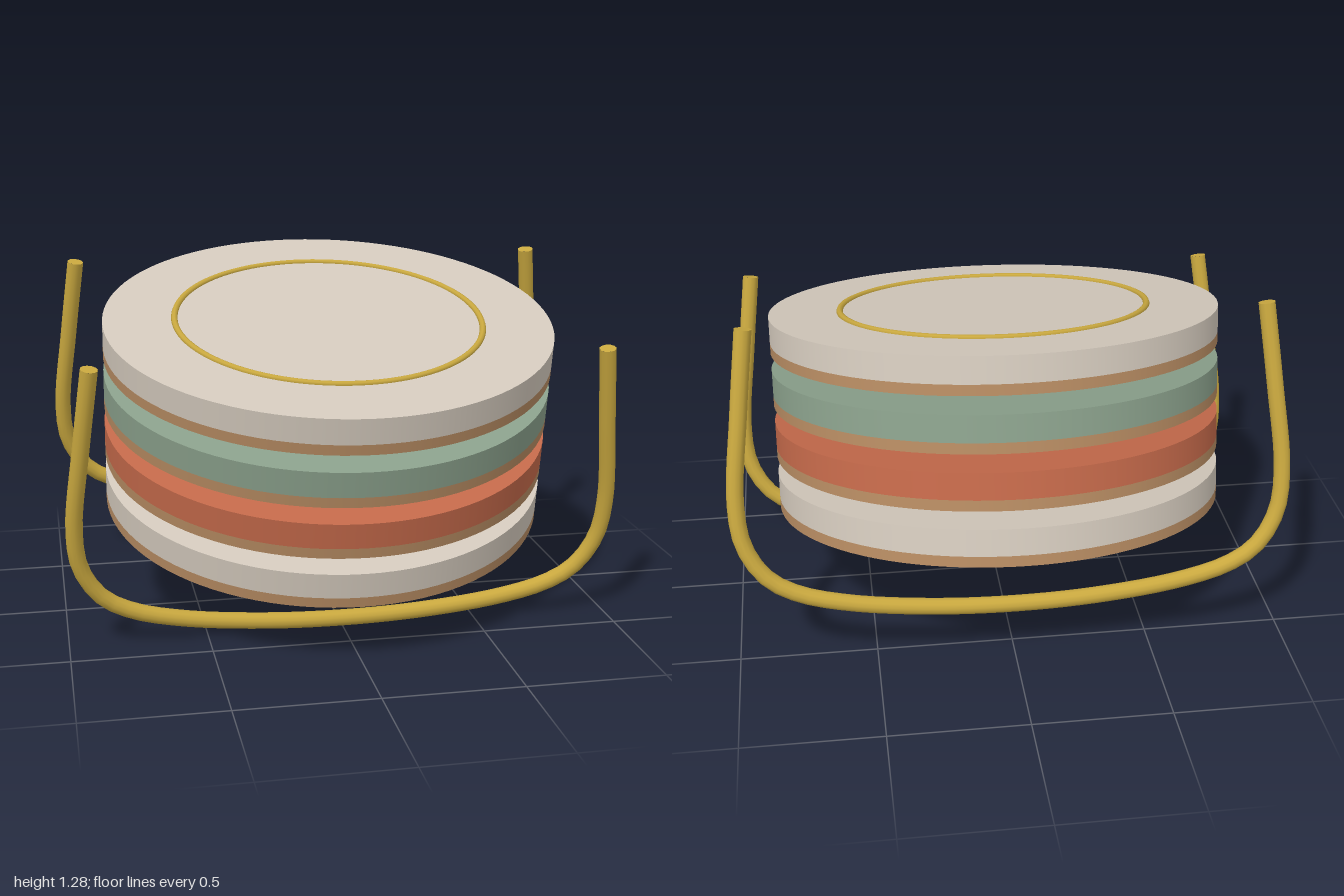
import * as THREE from 'three';

export function createModel() {
  const mat = (name, color) => {
    const m = new THREE.MeshStandardMaterial({ color });
    m.name = name;
    return m;
  };
  const cream = mat('cream', 0xd3c9bc);
  const sage = mat('sage green', 0x8aa08b);
  const terracotta = mat('terracotta', 0xc4694a);
  const cork = mat('cork', 0xb58a61);
  const brass = mat('brass', 0xc9a83f);

  const model = new THREE.Group();
  model.name = 'coasterSet';

  // Everything leans back together; origin is the top of the lowest coaster
  const tilted = new THREE.Group();
  tilted.name = 'tiltedStack';
  tilted.rotation.x = 0.218;
  tilted.position.set(0, 0.535, -0.05);
  model.add(tilted);

  const add = (parent, name, geometry, material, y = 0) => {
    const mesh = new THREE.Mesh(geometry, material);
    mesh.name = name;
    mesh.position.y = y;
    parent.add(mesh);
    return mesh;
  };

  // Coasters: coloured disc, cork backing and an inlaid brass ring
  const radius = 0.828, thick = 0.133, corkThick = 0.038, spacing = 0.197;
  const bodyThick = thick - corkThick;
  const bodyGeo = new THREE.CylinderGeometry(radius, radius, bodyThick, 96);
  const corkGeo = new THREE.CylinderGeometry(radius, radius, corkThick, 96);
  const ringGeo = new THREE.TorusGeometry(0.567, 0.012, 8, 96).rotateX(Math.PI / 2);
  [cream, terracotta, sage, cream].forEach((colour, i) => {
    const coaster = new THREE.Group();
    coaster.name = 'coaster' + (i + 1);
    coaster.position.y = i * spacing;
    add(coaster, 'disc', bodyGeo, colour, -bodyThick / 2);
    add(coaster, 'corkBacking', corkGeo, cork, -thick + corkThick / 2);
    add(coaster, 'inlayRing', ringGeo, brass);
    tilted.add(coaster);
  });

  // Holder rods: a U-shaped wire in front and behind
  const half = [[0.9, 0.65], [0.935, 0.36], [0.968, 0.04], [0.95, -0.12],
    [0.88, -0.24], [0.78, -0.305], [0.6, -0.355], [0.3, -0.392]];
  const points = [
    ...half.map(([x, y]) => new THREE.Vector3(-x, y, 0)),
    new THREE.Vector3(0, -0.403, 0),
    ...half.slice().reverse().map(([x, y]) => new THREE.Vector3(x, y, 0)),
  ];
  const curve = new THREE.CatmullRomCurve3(points);
  const rodGeo = new THREE.TubeGeometry(curve, 64, 0.03, 12);
  const capGeo = new THREE.CircleGeometry(0.03, 12);
  for (const [name, z] of [['frontRod', 0.49], ['backRod', -0.49]]) {
    const rod = new THREE.Group();
    rod.name = name;
    rod.position.z = z;
    add(rod, 'wire', rodGeo, brass);
    // Flat caps closing the two tips
    for (const t of [0, 1]) {
      const cap = add(rod, 'tip', capGeo, brass);
      cap.position.copy(curve.getPointAt(t));
      const out = curve.getTangentAt(t).multiplyScalar(t ? 1 : -1);
      cap.quaternion.setFromUnitVectors(new THREE.Vector3(0, 0, 1), out);
    }
    tilted.add(rod);
  }
  return model;
}
